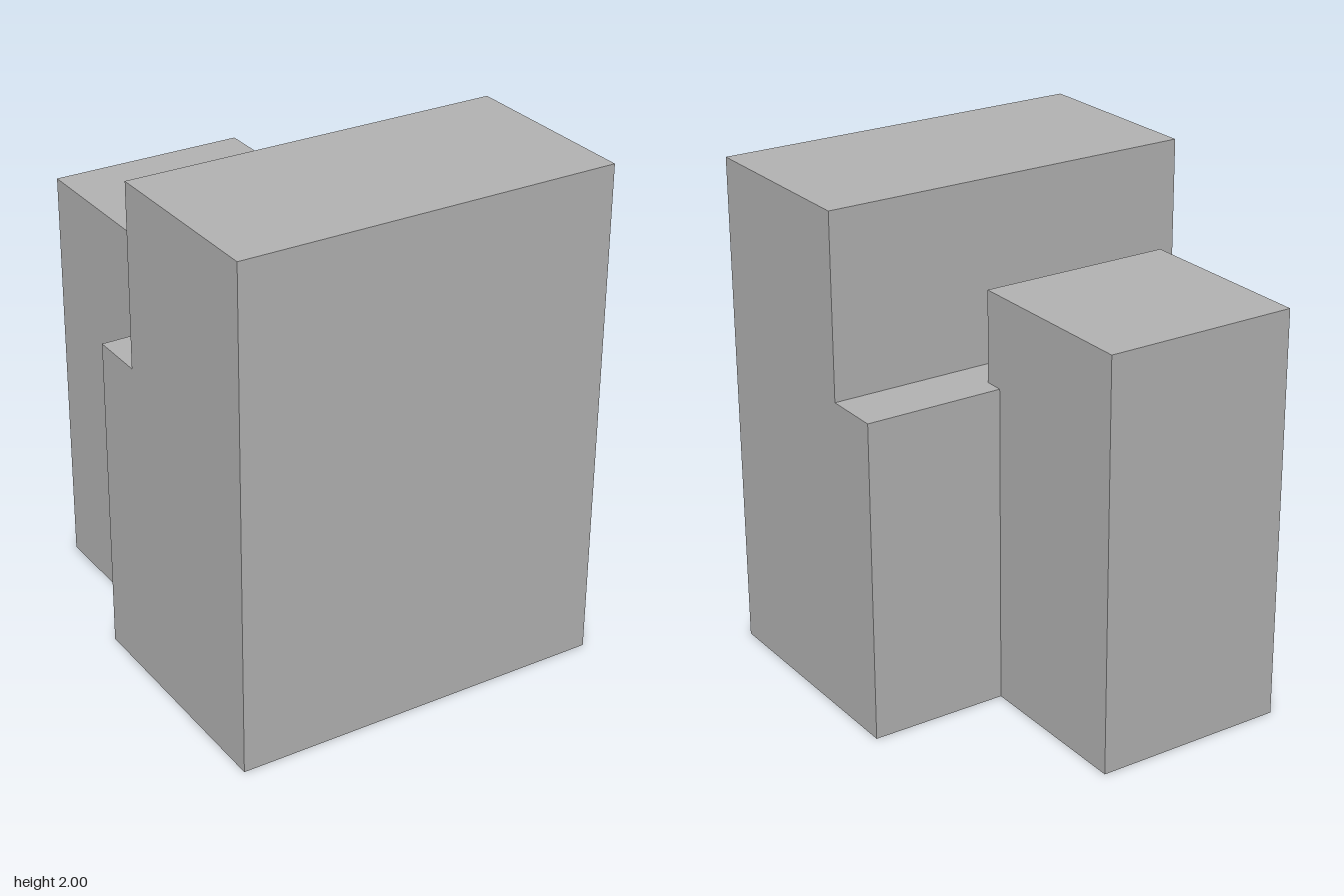
import * as THREE from 'three';

// Drops the triangles lying on the ground, leaving the shell open underneath
function openBottom(geometry) {
  const source = geometry.index ? geometry.toNonIndexed() : geometry;
  const p = source.attributes.position;
  const kept = [];
  for (let i = 0; i < p.count; i += 3) {
    const onGround = [0, 1, 2].every((k) => Math.abs(p.getY(i + k)) < 1e-4);
    if (onGround) continue;
    for (let k = 0; k < 3; k++) kept.push(p.getX(i + k), p.getY(i + k), p.getZ(i + k));
  }
  const open = new THREE.BufferGeometry();
  open.setAttribute('position', new THREE.Float32BufferAttribute(kept, 3));
  open.computeVertexNormals();
  return open;
}

export function createModel() {
  const model = new THREE.Group();
  model.name = 'blockBuilding';
  const grey = new THREE.MeshStandardMaterial({ color: 0xb2b2b2, side: THREE.DoubleSide });
  grey.name = 'plain grey';

  // Main block: stepped side profile (z, y) swept across the width, open below
  const profile = new THREE.Shape([
    [0.83, 0], [0.83, 2], [0.075, 2], [0.075, 1.28], [-0.153, 1.28], [-0.153, 0],
  ].map(([z, y]) => new THREE.Vector2(z, y)));
  const width = 1.51;
  const sweep = new THREE.ExtrudeGeometry(profile, { depth: width, bevelEnabled: false });
  sweep.rotateY(-Math.PI / 2).translate(width / 2, 0, 0);
  const mainBlock = new THREE.Mesh(openBottom(sweep), grey);
  mainBlock.name = 'mainBlock';
  model.add(mainBlock);

  // Rear tower: closed box sunk slightly into the ledge
  const rearTower = new THREE.Mesh(new THREE.BoxGeometry(0.777, 1.64, 0.753), grey);
  rearTower.name = 'rearTower';
  rearTower.position.set(-0.19, 0.82, -0.4535);
  model.add(rearTower);

  return model;
}
